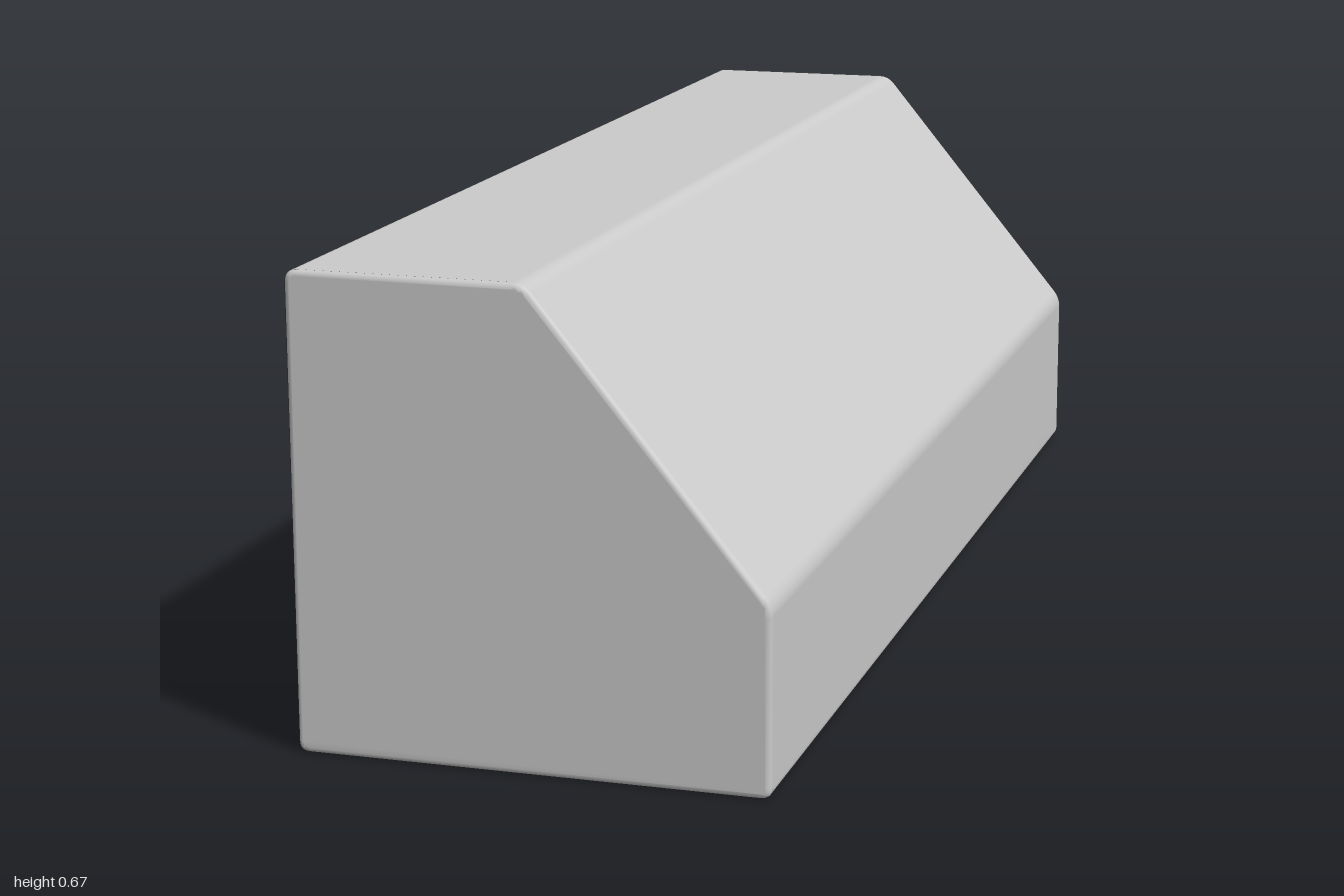
import * as THREE from 'three';
import { mergeVertices } from 'three/addons/utils/BufferGeometryUtils.js';

// Closed outline with every corner rounded off over distance d
function roundedOutline(corners, d) {
  const pts = corners.map(([x, y]) => new THREE.Vector2(x, y));
  const shape = new THREE.Shape();
  pts.forEach((p, i) => {
    const prev = pts[(i + pts.length - 1) % pts.length];
    const next = pts[(i + 1) % pts.length];
    const a = prev.clone().sub(p).setLength(d).add(p);
    const b = next.clone().sub(p).setLength(d).add(p);
    if (i === 0) shape.moveTo(a.x, a.y);
    else shape.lineTo(a.x, a.y);
    shape.quadraticCurveTo(p.x, p.y, b.x, b.y);
  });
  shape.closePath();
  return shape;
}

export function createModel() {
  const group = new THREE.Group();
  const length = 2, bevel = 0.008;

  // Block section: square with the upper left corner sliced off
  const section = roundedOutline([
    [-0.333, 0], [0.333, 0], [0.333, 0.264], [0, 0.667], [-0.333, 0.667],
  ], 0.016);

  // Long body with softly rounded ends
  let geometry = new THREE.ExtrudeGeometry(section, {
    depth: length - 2 * bevel,
    curveSegments: 4,
    bevelEnabled: true,
    bevelThickness: bevel,
    bevelSize: bevel,
    bevelOffset: -bevel,
    bevelSegments: 3,
  });
  geometry.translate(0, 0, bevel - length / 2);

  // Shared vertices give smooth edges while the large faces stay flat
  geometry.deleteAttribute('uv');
  geometry.deleteAttribute('normal');
  geometry = mergeVertices(geometry, 1e-5);
  geometry.computeVertexNormals();

  const block = new THREE.Mesh(geometry, new THREE.MeshStandardMaterial({ color: 0xcccccc }));
  block.name = 'chamferedBlock';
  group.add(block);
  return group;
}
